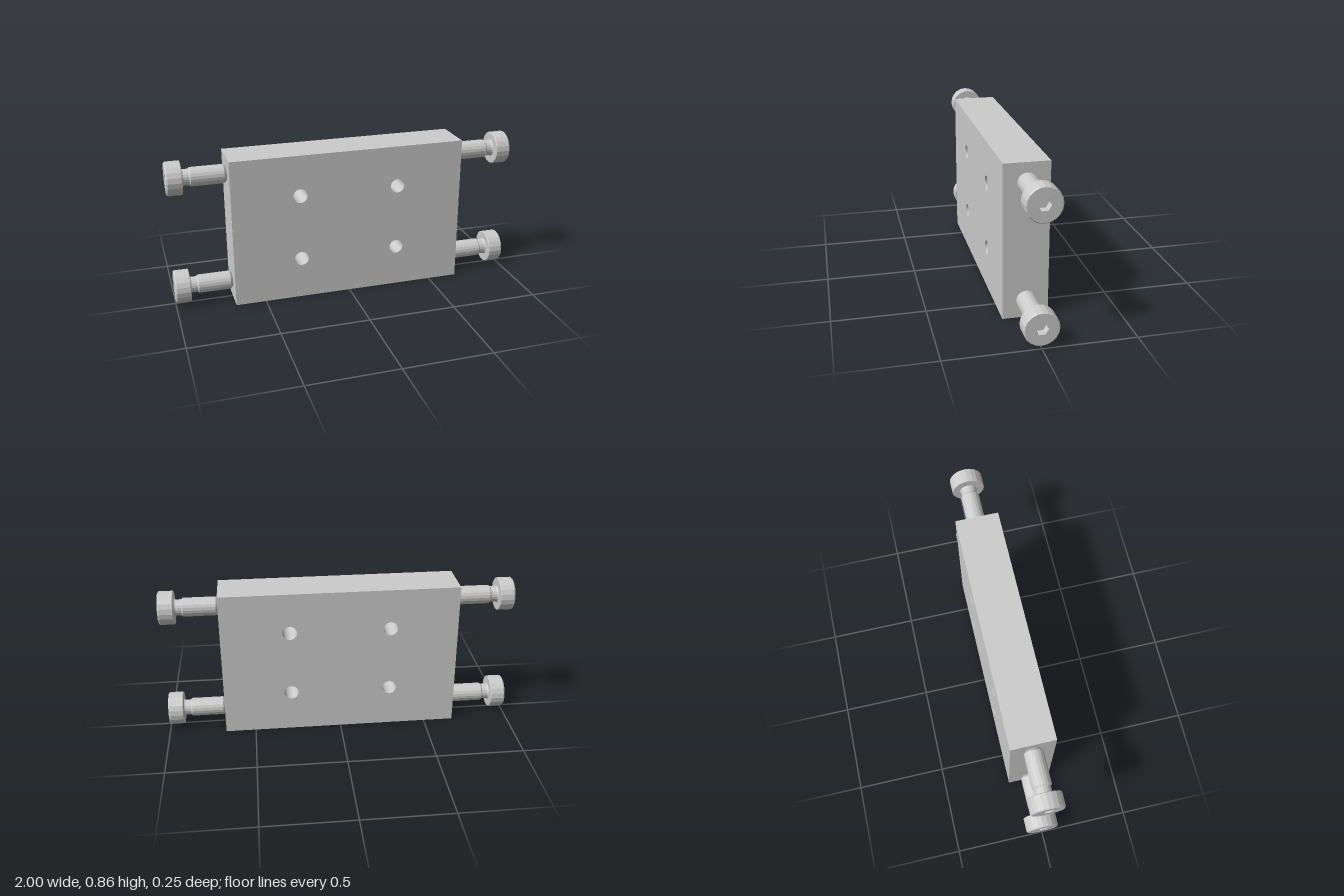
import * as THREE from 'three';

const SIDES = 20;
const material = new THREE.MeshStandardMaterial({ color: 0xcccccc, flatShading: true });
const socketMaterial = material.clone();
socketMaterial.side = THREE.DoubleSide;

function addMesh(parent, name, geometry, mat = material) {
  const mesh = new THREE.Mesh(geometry, mat);
  mesh.name = name;
  parent.add(mesh);
  return mesh;
}

// Regular polygon points with a corner on the vertical axis
function polygon(radius, sides) {
  return Array.from({ length: sides }, (_, i) => {
    const a = (i / sides) * Math.PI * 2;
    return new THREE.Vector2(Math.sin(a) * radius, Math.cos(a) * radius);
  });
}

// Rectangular block with four through holes
function plate() {
  const w = 0.672, h = 0.855, d = 0.246;
  const shape = new THREE.Shape();
  shape.moveTo(-w, 0).lineTo(w, 0).lineTo(w, h).lineTo(-w, h).closePath();
  for (const x of [-0.285, 0.285]) {
    for (const y of [0.24, 0.62]) {
      shape.holes.push(new THREE.Path(polygon(0.041, 24).map(p => p.add(new THREE.Vector2(x, y)))));
    }
  }
  const geometry = new THREE.ExtrudeGeometry(shape, { depth: d, bevelEnabled: false });
  return geometry.translate(0, 0, -d / 2);
}

// Socket head screw, built along +y and laid along +x
function screw() {
  const outer = new THREE.Group();
  const inner = new THREE.Group();
  inner.rotation.z = -Math.PI / 2;
  outer.add(inner);

  // Chamfered tip, shank, undercut neck and head in one profile
  const profile = [
    [0, 0.672], [0.042, 0.672], [0.053, 0.685], [0.053, 0.866], [0.045, 0.874],
    [0.045, 0.905], [0.049, 0.914], [0.091, 0.914], [0.094, 0.917], [0.094, 0.993], [0.088, 1.0]
  ].map(([r, y]) => new THREE.Vector2(r, y));
  addMesh(inner, 'screwBody', new THREE.LatheGeometry(profile, SIDES));

  // Head face with hexagonal opening
  const hexRadius = 0.033, depth = 0.045;
  const face = new THREE.Shape(polygon(0.088, SIDES));
  face.holes.push(new THREE.Path(polygon(hexRadius, 6)));
  addMesh(inner, 'headFace', new THREE.ShapeGeometry(face).rotateX(-Math.PI / 2).translate(0, 1, 0));

  // Socket walls and floor
  addMesh(inner, 'socketWalls',
    new THREE.CylinderGeometry(hexRadius, hexRadius, depth, 6, 1, true).translate(0, 1 - depth / 2, 0), socketMaterial);
  addMesh(inner, 'socketFloor',
    new THREE.CircleGeometry(hexRadius, 6, Math.PI / 2).rotateX(-Math.PI / 2).translate(0, 1 - depth, 0));
  return outer;
}

export function createModel() {
  const model = new THREE.Group();
  model.name = 'plateWithScrews';
  addMesh(model, 'plate', plate());

  // Two screws on each end
  for (const side of ['left', 'right']) {
    for (const [level, y] of [['Lower', 0.106], ['Upper', 0.753]]) {
      const s = screw();
      s.name = side + level + 'Screw';
      s.position.y = y;
      if (side === 'right') s.rotation.y = Math.PI;
      model.add(s);
    }
  }
  return model;
}
